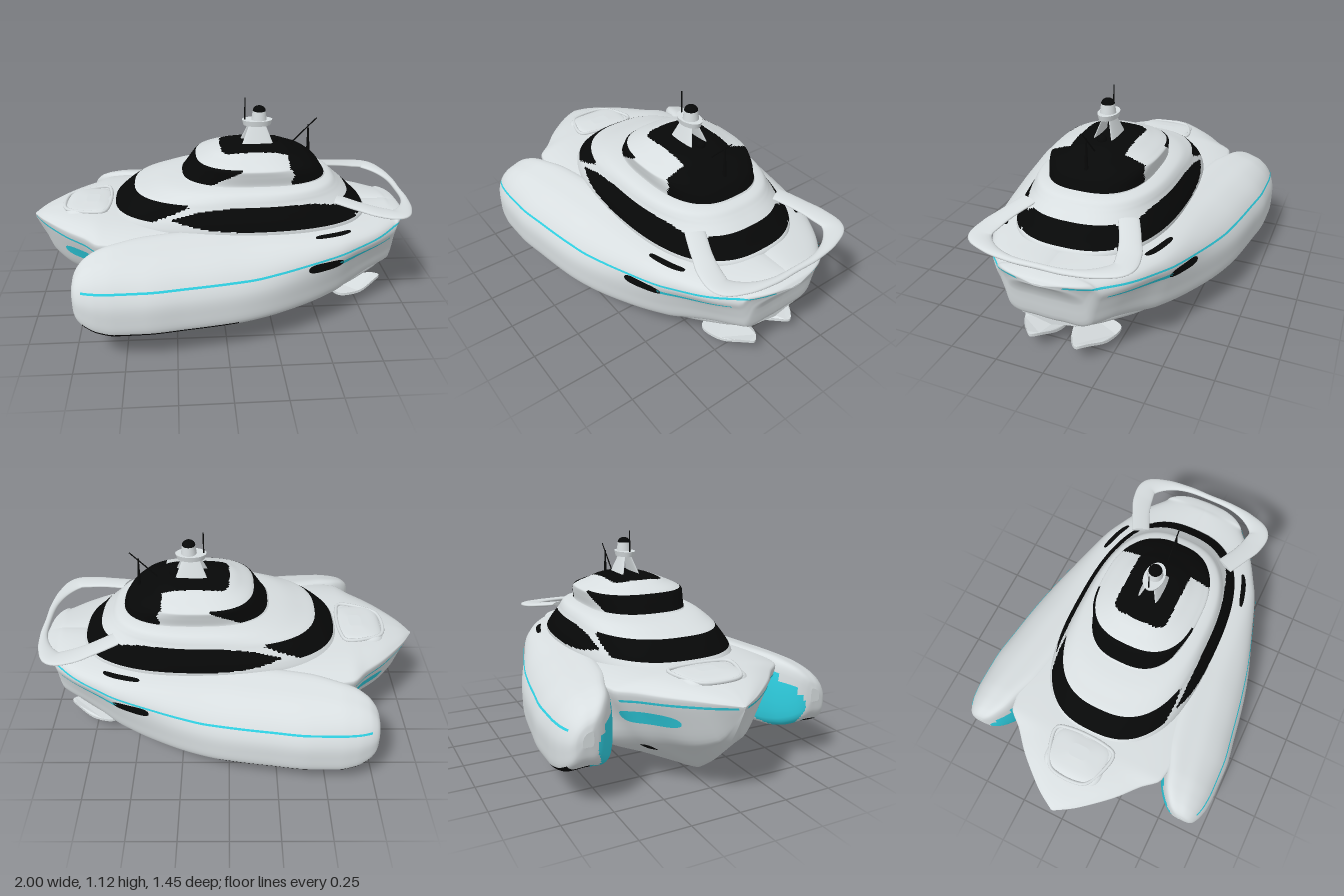
import * as THREE from 'three';

const V = (x, y, z) => new THREE.Vector3(x, y, z);
const V2 = ([x, y]) => new THREE.Vector2(x, y);
const steps = rows => rows.map((r, i) => [i, ...r]);
const range = (n, f) => Array.from({ length: n }, (_, i) => f(i));
function mat(name, color) {
  const m = new THREE.MeshStandardMaterial({ color });
  m.name = name;
  return m;
}

// Smooth, overshoot-free interpolation of rows [x, a, b, ...]
function sample(keys, x) {
  const n = keys.length;
  x = Math.min(Math.max(x, keys[0][0]), keys[n - 1][0]);
  let i = 0;
  while (i < n - 2 && x > keys[i + 1][0]) i++;
  const h = keys[i + 1][0] - keys[i][0], t = (x - keys[i][0]) / h, t2 = t * t, t3 = t2 * t;
  const slope = (k, c) => (keys[k + 1][c] - keys[k][c]) / (keys[k + 1][0] - keys[k][0]);
  const tangent = (k, c) => {
    if (k === 0 || k === n - 1) return slope(Math.min(k, n - 2), c);
    const a = slope(k - 1, c), b = slope(k, c);
    return a * b <= 0 ? 0 : 2 * a * b / (a + b);
  };
  return keys[i].slice(1).map((p, k) => (2 * t3 - 3 * t2 + 1) * p + (t3 - 2 * t2 + t) * h * tangent(i, k + 1)
    + (3 * t2 - 2 * t3) * keys[i + 1][k + 1] + (t3 - t2) * h * tangent(i + 1, k + 1));
}

// Skin closed rings and close both ends; paint(centre) picks a material index per face
function loft(name, rings, mats, paint = () => 0) {
  const mid = r => r.reduce((s, p) => s.add(p), V(0, 0, 0)).divideScalar(r.length);
  const first = rings[0], last = rings[rings.length - 1], m = first.length;
  const rows = [first.map(() => mid(first)), first, ...rings, last, last.map(() => mid(last))];
  const pts = rows.flat(), groups = mats.map(() => []), index = [];
  let volume = 0;
  for (let i = 0; i < rows.length - 1; i++) for (let j = 0; j < m; j++) {
    const a = i * m + j, b = i * m + (j + 1) % m, c = b + m, d = a + m;
    groups[paint(mid([pts[a], pts[b], pts[c], pts[d]]))].push(a, b, c, a, c, d);
    for (const [p, q, r] of [[a, b, c], [a, c, d]]) volume += pts[p].dot(pts[q].clone().cross(pts[r]));
  }
  const geo = new THREE.BufferGeometry().setFromPoints(pts);
  groups.forEach((list, k) => {
    if (volume < 0) list.reverse();
    geo.addGroup(index.length, list.length, k);
    for (const v of list) index.push(v);
  });
  geo.setIndex(index);
  geo.computeVertexNormals();
  const mesh = new THREE.Mesh(geo, mats);
  mesh.name = name;
  return mesh;
}

// Rounded plan rings stacked upward: keys [step, y, front x, back x, half width, squareness]
const planRings = (keys, rows, cols) => range(rows + 1, i => {
  const [y, xf, xb, w, n] = sample(keys, i / rows * (keys.length - 1));
  return range(cols, j => {
    const a = j / cols * Math.PI * 2, c = Math.cos(a), s = Math.sin(a);
    const r = (Math.abs(c) ** n + Math.abs(s) ** n) ** (-1 / n);
    return V((xf + xb) / 2 + (xb - xf) / 2 * c * r, y, w * s * r);
  });
});

// Outermost z of a section at height y
function outerZ(section, y) {
  let z = 0;
  section.forEach((p, i) => {
    const q = section[(i + 1) % section.length];
    if ((p.y - y) * (q.y - y) <= 0 && p.y !== q.y) z = Math.max(z, p.x + (q.x - p.x) * (y - p.y) / (q.y - p.y));
  });
  return z;
}

// Centre hull: x, keel y, chine z, chine y, sheer z, sheer y, deck y
const HULL = [
  [-1, .48, 0, .485, .006, .497, .5], [-.95, .37, .025, .4, .09, .5, .525], [-.9, .29, .07, .32, .155, .5, .54],
  [-.8, .18, .16, .28, .268, .5, .56], [-.7, .1, .235, .27, .358, .5, .57], [-.62, .05, .305, .255, .44, .5, .573],
  [-.4, 0, .41, .19, .47, .5, .57], [0, 0, .45, .165, .45, .49, .56], [.3, 0, .42, .165, .4, .48, .555],
  [.45, .018, .39, .167, .36, .47, .55], [.57, .07, .36, .175, .3, .46, .545], [.8, .16, .25, .23, .2, .42, .52], [.895, .205, .16, .245, .12, .38, .42]];
function hullSection(x) {
  const [yk, wc, yc, w, ys, yd] = sample(HULL, x);
  return new THREE.SplineCurve([[0, yk], [wc * .5, yk + (yc - yk) * .48], [wc, yc], [wc + (w - wc) * .55, yc + (ys - yc) * .5],
    [w, ys], [w * .93, ys + (yd - ys) * .45], [w * .6, yd - (yd - ys) * .15], [0, yd]].map(V2)).getPoints(28);
}

// Side float: x, inner z, outer z, bottom y, top y
const FLOAT = [
  [-.74, .585, .635, .33, .4], [-.732, .56, .665, .28, .435], [-.715, .53, .685, .245, .465], [-.68, .495, .703, .212, .496],
  [-.62, .455, .72, .182, .52], [-.54, .425, .727, .165, .535], [-.4, .37, .727, .163, .544], [-.2, .33, .702, .163, .546],
  [0, .3, .67, .163, .546], [.2, .25, .625, .163, .545], [.4, .18, .56, .165, .542], [.57, .08, .49, .175, .54],
  [.67, .02, .43, .2, .537], [.8, -.05, .35, .232, .533], [.9, -.05, .265, .245, .53], [.915, -.05, .25, .28, .529],
  [.93, -.045, .235, .38, .527], [.96, -.04, .19, .445, .522], [.985, -.03, .12, .478, .515], [1, -.01, .03, .49, .5]];
const loop = pts => new THREE.CatmullRomCurve3(pts.map(p => V(p[0], p[1], 0)), true, 'centripetal').getPoints(60).slice(0, 60);
const MID = loop([[.12, 0], [.5, 0], [.87, 0], [.975, .07], [1, .27], [.98, .49], [.84, .72], [.62, .88], [.4, .955], [.1, 1], [0, .85], [0, .12]]);
const AFT = loop([[.12, 0], [.4, 0], [.69, .01], [.81, .1], [.88, .35], [.94, .56], [1, .73], [.95, .87], [.7, .97], [.12, 1], [0, .85], [0, .12]]);
function floatSection(x) {
  const [zi, zo, yb, yt] = sample(FLOAT, x), k = THREE.MathUtils.smoothstep(x, 0, .75);
  return MID.map((p, i) => {
    const q = p.clone().lerp(AFT[i], k);
    return V2([zi + (zo - zi) * q.x, yb + (yt - yb) * q.y]);
  });
}

export function createModel() {
  const g = new THREE.Group();
  g.name = 'yacht';
  const white = mat('pearl white', 0xd8dee0), black = mat('black glass', 0x070808), teal = mat('teal trim', 0x2fd0e2);
  const put = (name, geo, m, x = 0, y = 0, z = 0) => {
    const mesh = new THREE.Mesh(geo, m);
    mesh.name = name;
    mesh.position.set(x, y, z);
    g.add(mesh);
    return mesh;
  };
  const rod = (name, a, b, r0, r1, m) => {
    const d = b.clone().sub(a), c = a.clone().lerp(b, .5);
    put(name, new THREE.CylinderGeometry(r1, r0, d.length(), 10), m, c.x, c.y, c.z)
      .quaternion.setFromUnitVectors(V(0, 1, 0), d.normalize());
  };
  // Painted band just proud of a hull side
  const stripe = (name, section, s, x0, x1, yAt, hAt, m) => {
    const pts = [], index = [], n = 100;
    for (let i = 0; i <= n; i++) {
      const t = i / n, x = x0 + (x1 - x0) * t, sec = section(x);
      for (let j = 0; j < 5; j++) {
        const y = yAt(x) + hAt(t) * (j / 2 - 1), a = i * 5 + j;
        pts.push(V(x, y + .0015, s * (outerZ(sec, y) + .005)));
        if (i < n && j < 4) index.push(...(s > 0 ? [a, a + 5, a + 6, a, a + 6, a + 1] : [a, a + 6, a + 5, a, a + 1, a + 6]));
      }
    }
    const geo = new THREE.BufferGeometry().setFromPoints(pts);
    geo.setIndex(index);
    geo.computeVertexNormals();
    put(name, geo, m);
  };

  // Centre hull
  g.add(loft('centreHull', range(101, i => {
    const x = -1 + 1.895 * (i / 100), half = hullSection(x);
    return [...half.map(p => V(x, p.y, p.x)), ...half.slice(1, -1).reverse().map(p => V(x, p.y, -p.x))];
  }), [white]));

  const oval = h => t => .001 + h * Math.sqrt(Math.max(0, 1 - (2 * t - 1) ** 4));
  const trim = [[-.7, .4], [.1, .4], [.25, .41], [.5, .436], [.8, .468], [.985, .495]];
  for (const s of [1, -1]) {
    // Side floats with dark lower edge and teal tunnel mouth
    g.add(loft('sideFloat', range(171, i => {
      const x = .13 - .87 * Math.cos(Math.PI * i / 170);
      return floatSection(x).map(p => V(x, p.y, s * p.x));
    }), [white, black, teal], c => {
      const [zi, zo, yb, yt] = sample(FLOAT, c.x), u = (Math.abs(c.z) - zi) / (zo - zi), v = (c.y - yb) / (yt - yb);
      if (u < .42 && ((c.x + .585) / .148) ** 2 + ((c.y - .315) / .14) ** 2 < 1) return 2;
      return c.x > -.69 && c.x < .05 && v < .08 && u > .3 + .5 * THREE.MathUtils.smoothstep(c.x, -.69, -.52) + .15 * Math.max(0, c.x + .4) ? 1 : 0;
    }));
    stripe('floatTrim', floatSection, s, -.69, .985, x => sample(trim, x)[0], () => .005, teal);
    stripe('aftTrim', floatSection, s, .57, .88, x => .395 + (x - .57) * .1, t => .011 - .008 * t, teal);
    stripe('sideVent', floatSection, s, .4, .59, () => .4, oval(.023), black);
    stripe('deckVent', floatSection, s, .45, .64, () => .518, oval(.003), black);
    stripe('bowTrim', hullSection, s, -.99, -.64, x => .487 - (x + 1) * .04, () => .006, teal);
    stripe('bowWindow', hullSection, s, -.82, -.6, () => .39, oval(.031), teal);
    stripe('thrusterPort', hullSection, s, -.625, -.585, () => .2, oval(.018), black);

    // Stern foils and drives
    const foil = new THREE.Shape(new THREE.SplineCurve([[.57, .02], [.6, .17], [.65, .25], [.77, .22], [.87, .15], [.89, .11], [.82, .06], [.7, .02], [.57, .02]]
      .map(p => V2([p[0], s * p[1]]))).getPoints(48));
    const foilGeo = new THREE.ExtrudeGeometry(foil, { depth: .015, bevelEnabled: false }).rotateX(Math.PI / 2);
    const pos = foilGeo.attributes.position;
    for (let i = 0; i < pos.count; i++) {
      pos.setY(i, pos.getY(i) + .063 + .06 * Math.abs(pos.getZ(i)) + .04 * THREE.MathUtils.smoothstep(pos.getX(i), .74, .89));
    }
    foilGeo.computeVertexNormals();
    put('sternFoil', foilGeo, white);
    put('drivePod', new THREE.CapsuleGeometry(.016, .1, 6, 14).rotateZ(Math.PI / 2), white, .66, .088, s * .055);
    rod('driveStrut', V(.65, .08, s * .055), V(.63, .16, s * .055), .012, .016, white);
    for (let k = 0; k < 3; k++) {
      put('propellerBlade', new THREE.SphereGeometry(.018, 10, 8).scale(.25, 1, .45).translate(0, .016, 0), white, .72, .088, s * .055)
        .rotation.x = k * Math.PI * 2 / 3;
    }
    // Splayed mast legs
    const leg = put('mastLeg', new THREE.CylinderGeometry(.042, .088, .12, 24).scale(1, 1, .13), white, .195, .925, s * .034);
    leg.rotation.x = -s * .3;
  }

  // Main cabin
  const sideTop = [[-.26, .605], [-.1, .645], [.1, .66], [.4, .657], [.6, .62], [.76, .56]];
  const sideLow = [[-.26, .6], [-.1, .565], [.1, .55], [.76, .545]];
  g.add(loft('mainCabin', planRings(steps([[.5, -.6, .79, .41, 2.6], [.54, -.59, .78, .41, 2.6], [.58, -.565, .74, .4, 2.6],
    [.62, -.525, .7, .38, 2.6], [.655, -.48, .66, .36, 2.6], [.672, -.45, .64, .352, 2.6], [.69, -.385, .62, .343, 2.6], [.715, -.28, .59, .32, 2.6],
    [.73, -.15, .52, .26, 2.6], [.733, 0, .4, .15, 2.5]]), 60, 220), [white, black], c => {
    const { x, y } = c, z = Math.abs(c.z);
    if (x < -.18 && y < .668 && y > .585 + Math.max(0, x + .36) * .4) return 1;
    if (x > -.26 && x < .69 && z > .24 && y > sample(sideLow, x)[0] && y < sample(sideTop, x)[0]) return 1;
    return x > .62 && z < .24 && y > .555 && y < .635 ? 1 : 0;
  }));

  // Upper bridge
  g.add(loft('upperBridge', planRings(steps([[.71, -.23, .57, .27, 2.7], [.735, -.2, .55, .262, 2.7], [.78, -.165, .52, .27, 2.7],
    [.81, -.14, .48, .275, 2.7], [.828, -.12, .45, .25, 2.6], [.85, -.07, .4, .2, 2.5], [.868, -.02, .365, .155, 2.6],
    [.88, .05, .33, .11, 2.6], [.888, .15, .28, .05, 2.5]]), 60, 220), [white, black], c => {
    const { x, y } = c, z = Math.abs(c.z);
    if (y > .735 && y < .82 && x < -.05 + (y - .735) * 1.8) return 1;
    if (x > .34 && z < .25 && y > .735) return 1;
    return x > 0 && x < .36 && z < .145 && y > .84 && Math.hypot(Math.max(0, .06 - x), Math.max(0, z - .085)) < .06 ? 1 : 0;
  }));

  // Foredeck hatch with rim
  g.add(loft('foredeckHatch', planRings(steps([[.53, -.84, -.57, .17, 4], [.56, -.82, -.58, .16, 4],
    [.572, -.79, -.6, .14, 4], [.58, -.72, -.65, .05, 4]]), 12, 64), [white]));
  const rim = new THREE.CatmullRomCurve3([[-.82, .09], [-.76, .135], [-.62, .165], [-.595, .1], [-.595, -.1], [-.62, -.165], [-.76, -.135], [-.82, -.09]]
    .map(p => V(p[0], .572 + (p[0] + .6) * .05, p[1])), true);
  put('hatchRim', new THREE.TubeGeometry(rim, 64, .01, 8, true), white);

  // Wing ring over the stern: x, y, z, half width
  const half = [[.58, .65, .26, .05], [.69, .627, .31, .05], [.79, .608, .345, .056], [.88, .597, .35, .055], [.945, .59, .265, .036], [.98, .585, .14, .02]];
  const all = [...half, [.984, .584, 0, .016], ...half.map(p => [p[0], p[1], -p[2], p[3]]).reverse()];
  const path = new THREE.CatmullRomCurve3(all.map(p => V(p[0], p[1], p[2])));
  const widths = all.map((p, i) => [i / (all.length - 1), p[3]]);
  g.add(loft('sternWingRing', range(91, i => {
    const t = i / 90, p = path.getPoint(t), d = path.getTangent(t), side = V(-d.z, 0, d.x).normalize();
    return range(16, j => p.clone().addScaledVector(side, sample(widths, t)[0] * Math.cos(j * Math.PI / 8))
      .add(V(0, .012 * Math.sin(j * Math.PI / 8), 0)));
  }), [white]));

  // Radar mast head
  put('mastPlatform', new THREE.CylinderGeometry(.08, .072, .028, 28).scale(1, 1, .65), white, .195, .99, 0);
  put('radome', new THREE.CylinderGeometry(.034, .041, .05, 24), white, .205, 1.025, 0);
  put('radomeCap', new THREE.SphereGeometry(.034, 24, 10, 0, Math.PI * 2, 0, Math.PI / 2).scale(1, .8, 1), black, .205, 1.05, 0);
  put('searchlight', new THREE.SphereGeometry(.026, 16, 12), black, .285, .887, 0);

  // Aerials
  rod('whipAerial', V(.13, .99, 0), V(.13, 1.12, 0), .004, .003, black);
  rod('aftSpike', V(.475, .77, 0), V(.466, .97, 0), .012, .003, black);
  rod('aftBoom', V(.35, .84, 0), V(.51, 1.005, 0), .004, .003, black);
  return g;
}
